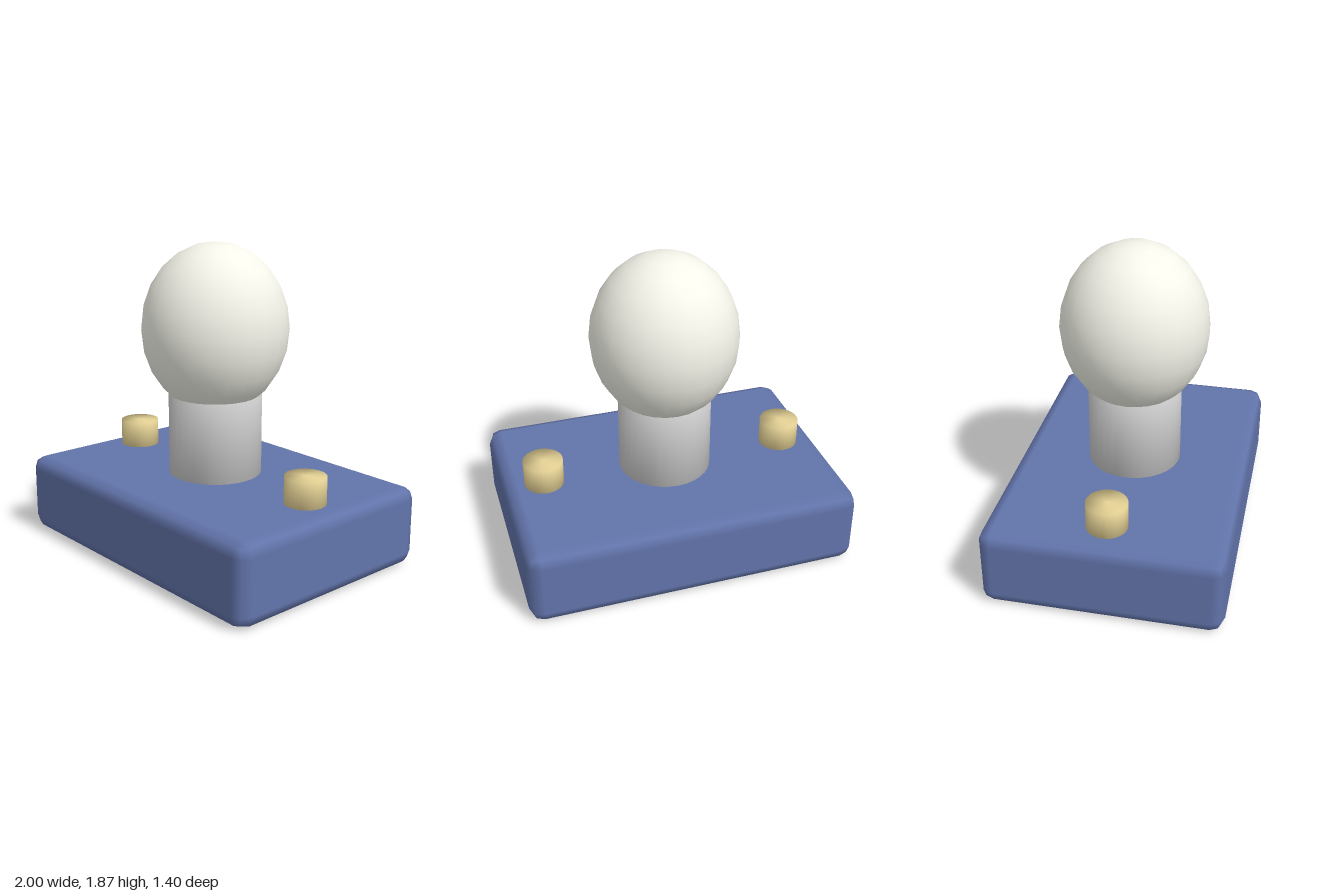
import * as THREE from 'three';
import { RoundedBoxGeometry } from 'three/addons/geometries/RoundedBoxGeometry.js';
import { mergeVertices } from 'three/addons/utils/BufferGeometryUtils.js';

const material = (color) => new THREE.MeshStandardMaterial({ color });

// Capped cylinder standing between two heights, with soft shading across the rims
function softCylinder(radius, bottom, top, segments) {
  let geometry = new THREE.CylinderGeometry(radius, radius, top - bottom, segments);
  geometry.deleteAttribute('uv');
  geometry.deleteAttribute('normal');
  geometry = mergeVertices(geometry);
  geometry.computeVertexNormals();
  return geometry.translate(0, (bottom + top) / 2, 0);
}

export function createModel() {
  const model = new THREE.Group();
  model.name = 'bulbOnBase';

  const add = (name, geometry, mat, x = 0, y = 0) => {
    const mesh = new THREE.Mesh(geometry, mat);
    mesh.name = name;
    mesh.position.set(x, y, 0);
    model.add(mesh);
    return mesh;
  };

  // Base block with bevelled edges
  add('base', new RoundedBoxGeometry(2, 0.48, 1.4, 1, 0.08), material(0x6274ab), 0, 0.24);

  // Socket holding the bulb
  add('socket', softCylinder(0.28, 0.48, 0.96, 32), material(0xcccccc));

  // Glass bulb, slightly taller than wide
  const bulb = add('bulb', new THREE.SphereGeometry(0.438, 24, 12), material(0xf4f4ea), 0, 1.36);
  bulb.scale.y = 1.153;

  // Terminal posts, one on each side of the socket
  const brass = material(0xe6d396);
  const post = softCylinder(0.12, 0.48, 0.64, 32);
  for (const side of [-1, 1]) {
    add(side > 0 ? 'leftTerminal' : 'rightTerminal', post, brass, side * 0.76);
  }

  return model;
}
